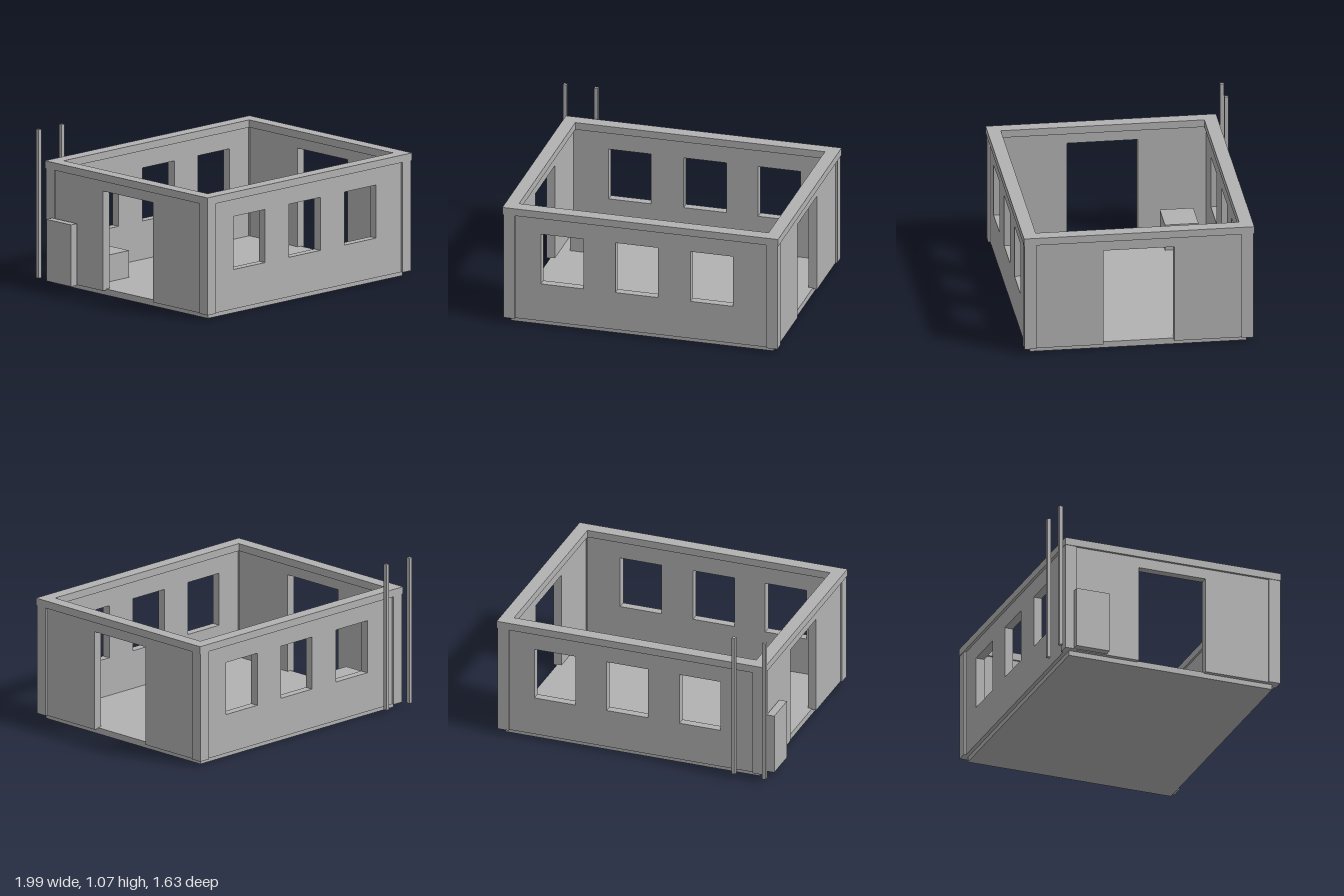
import * as THREE from 'three';

export function createModel() {
  const group = new THREE.Group();
  const plaster = new THREE.MeshStandardMaterial({ color: 0xb2b2b2 });
  plaster.name = 'grey plaster';

  const add = (name, geometry) => {
    const mesh = new THREE.Mesh(geometry, plaster);
    mesh.name = name;
    group.add(mesh);
    return mesh;
  };

  // Box given by its lowest and highest corners
  const box = (name, [x0, y0, z0], [x1, y1, z1]) =>
    add(name, new THREE.BoxGeometry(x1 - x0, y1 - y0, z1 - z0))
      .position.set((x0 + x1) / 2, (y0 + y1) / 2, (z0 + z1) / 2);

  const rectangle = (Type, x0, y0, x1, y1) =>
    new Type([[x0, y0], [x1, y0], [x1, y1], [x0, y1]].map(p => new THREE.Vector2(...p)));

  const slab = (shape, depth) => new THREE.ExtrudeGeometry(shape, { depth, bevelEnabled: false });

  // The room is symmetric about this point
  const cx = 0.021, cz = 0.025;
  const base = 0.035, top = 0.803;

  // Floor
  box('floor', [cx - 0.925, 0, cz - 0.743], [cx + 0.925, 0.043, cz + 0.743]);

  // Corner pillars
  for (const sx of [-1, 1]) for (const sz of [-1, 1]) {
    const xs = [cx + sx * 0.886, cx + sx * 0.967].sort((a, b) => a - b);
    const zs = [cz + sz * 0.703, cz + sz * 0.785].sort((a, b) => a - b);
    box('cornerPillar', [xs[0], base, zs[0]], [xs[1], top, zs[1]]);
  }

  // Long walls with three windows; the back one is the front one turned half round
  const windowWall = rectangle(THREE.Shape, -0.886, base, 0.886, top);
  for (const x of [-0.556, -0.031, 0.499]) {
    windowWall.holes.push(rectangle(THREE.Path, x - 0.15, 0.31, x + 0.15, 0.68));
  }
  // Short walls with a doorway open to the floor
  const doorWall = new THREE.Shape([
    [-0.703, base], [-0.243, base], [-0.243, 0.73], [0.243, 0.73],
    [0.243, base], [0.703, base], [0.703, top], [-0.703, top],
  ].map(p => new THREE.Vector2(...p)));

  const walls = [
    ['frontWall', windowWall, 0.71, 0], ['backWall', windowWall, 0.71, Math.PI],
    ['leftWall', doorWall, 0.895, Math.PI / 2], ['rightWall', doorWall, 0.895, -Math.PI / 2],
  ];
  for (const [name, shape, inset, turn] of walls) {
    const mesh = add(name, slab(shape, 0.06).translate(0, 0, inset));
    mesh.rotation.y = turn;
    mesh.position.set(cx, 0, cz);
  }

  // Rim on top of the walls
  const rim = rectangle(THREE.Shape, -0.973, -0.789, 0.973, 0.789);
  rim.holes.push(rectangle(THREE.Path, -0.881, -0.697, 0.881, 0.697));
  add('rim', slab(rim, 0.052).rotateX(-Math.PI / 2)).position.set(cx, top, cz);

  // Inner crate and outer cabinet
  box('innerCrate', [-0.81, 0.04, -0.59], [-0.545, 0.23, -0.36]);
  box('outerCabinet', [-1, base, -0.70], [-0.945, 0.465, -0.46]);

  // Two square poles behind the back wall
  for (const x of [-0.969, -0.749]) {
    box('pole', [x - 0.013, base, -0.82], [x + 0.013, 1.07, -0.794]);
  }

  return group;
}
